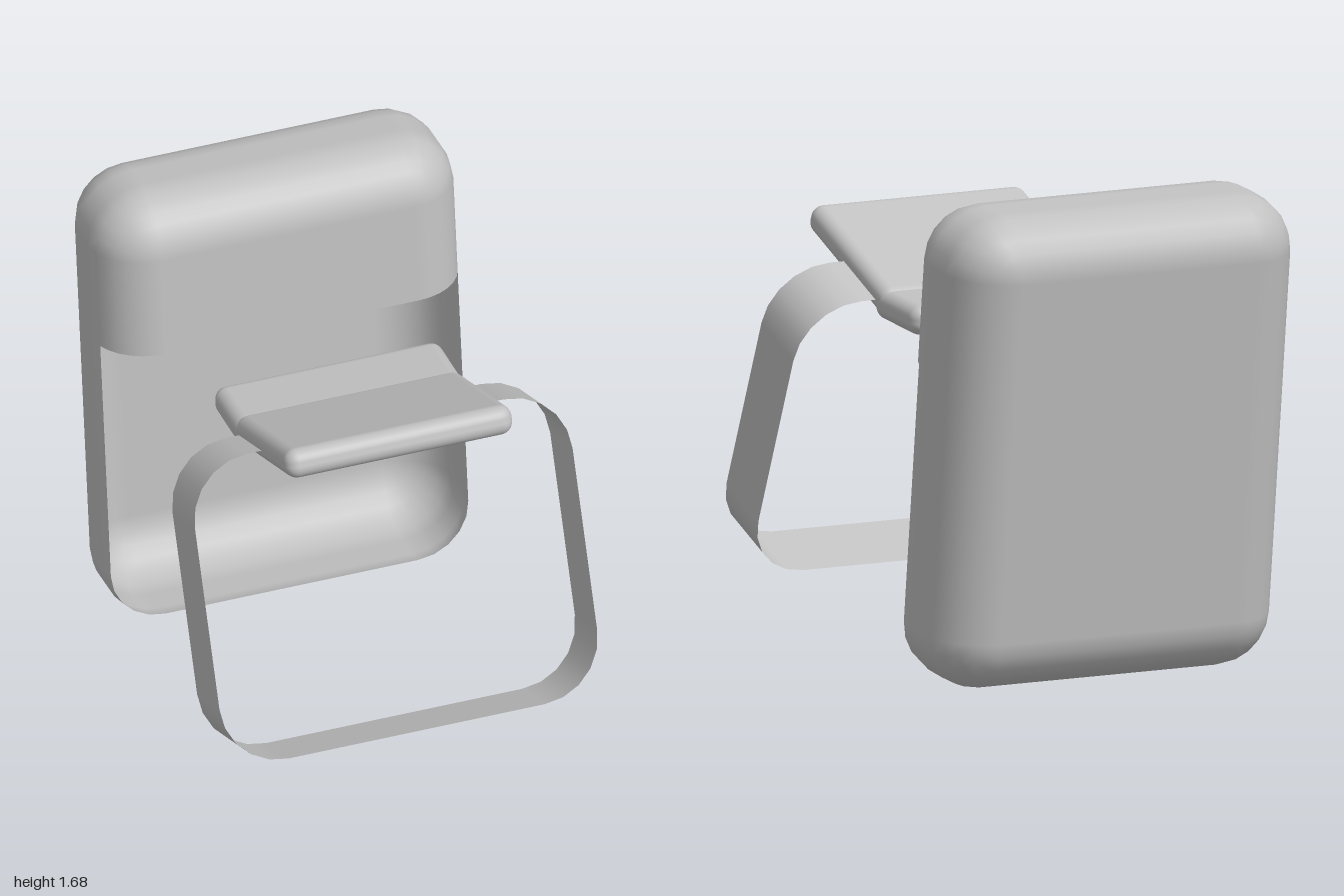
import * as THREE from 'three';
import { RoundedBoxGeometry } from 'three/addons/geometries/RoundedBoxGeometry.js';

const CORNER_STEPS = 5;

// Rounded rectangle, counter-clockwise; with yMin it is an arch cut off level at yMin.
function outline(w, h, r, yMin) {
  const pts = [];
  const corner = (sx, sy, start) => {
    for (let i = 0; i <= CORNER_STEPS; i++) {
      const t = start + (i / CORNER_STEPS) * Math.PI / 2;
      const nx = Math.cos(t), ny = Math.sin(t);
      pts.push([sx * (w / 2 - r) + r * nx, sy * (h / 2 - r) + r * ny, nx, ny]);
    }
  };
  if (yMin !== undefined) pts.push([w / 2, yMin, 1, 0]);
  corner(1, 1, 0);
  corner(-1, 1, Math.PI / 2);
  if (yMin !== undefined) {
    pts.push([-w / 2, yMin, -1, 0]);
  } else {
    corner(-1, -1, Math.PI);
    corner(1, -1, Math.PI * 1.5);
    pts.push(pts[0]);
  }
  return pts;
}

// Skin over rings {pts, z, tilt}; tilt is the angle of the normal out of the ring's plane.
function loft(rings, capBack, capFront) {
  const pos = [], nor = [], idx = [];
  const n = rings[0].pts.length, last = (rings.length - 1) * n;
  for (const { pts, z, tilt } of rings) {
    for (const [x, y, nx, ny] of pts) {
      pos.push(x, y, z);
      nor.push(nx * Math.cos(tilt), ny * Math.cos(tilt), Math.sin(tilt));
    }
  }
  for (let k = 0; k < last; k += n) {
    for (let i = 0; i < n - 1; i++) {
      const a = k + i, b = a + 1, c = b + n, d = a + n;
      idx.push(a, b, d, b, c, d);
    }
  }
  for (let i = 1; i < n - 1; i++) {
    if (capBack) idx.push(0, i + 1, i);
    if (capFront) idx.push(last, last + i, last + i + 1);
  }
  const g = new THREE.BufferGeometry();
  g.setAttribute('position', new THREE.Float32BufferAttribute(pos, 3));
  g.setAttribute('normal', new THREE.Float32BufferAttribute(nor, 3));
  g.setIndex(idx);
  return g;
}

export function createModel() {
  const grey = new THREE.MeshStandardMaterial({ color: 0xc0c0c0, side: THREE.DoubleSide });
  grey.name = 'light grey';

  const model = new THREE.Group();
  model.name = 'model';
  const add = (parent, geometry, name) => {
    const m = new THREE.Mesh(geometry, grey);
    m.name = name;
    parent.add(m);
    return m;
  };

  // Everything is turned a little about the vertical
  const turned = new THREE.Group();
  turned.name = 'turnedAssembly';
  turned.rotation.y = -0.21;
  model.add(turned);

  // Hollow rounded case, leaning back
  const W = 1.315, H = 1.685, D = 0.5, R = 0.2, STEP_Y = 0.274;
  const caseGroup = new THREE.Group();
  caseGroup.name = 'case';
  caseGroup.position.set(0.018, 0.843, -0.587);
  caseGroup.rotation.x = -0.12;
  turned.add(caseGroup);

  const ring = (tilt, yMin) => {
    const inset = R * (1 - Math.cos(tilt));
    return {
      pts: outline(W - 2 * inset, H - 2 * inset, R - inset, yMin),
      z: Math.sign(tilt) * (D / 2 - R) + R * Math.sin(tilt),
      tilt,
    };
  };
  const cut = 0.305, steps = 6;

  // Back shell, open to the front
  const shell = [];
  for (let i = 0; i < steps; i++) shell.push(ring(-Math.PI / 2 * (1 - i / steps)));
  shell.push({ ...ring(0), z: -(D / 2 - R) }, { ...ring(0), z: D / 2 - R }, ring(cut));
  add(caseGroup, loft(shell, true, false), 'backShell');

  // Front cover over the upper part only
  const cover = [];
  for (let i = 0; i <= steps; i++) {
    cover.push(ring(cut + (Math.PI / 2 - cut) * i / steps, STEP_Y));
  }
  add(caseGroup, loft(cover, false, true), 'upperFrontCover');

  // Thin band forming a rounded loop
  const loop = outline(1.37, 1.09, 0.22);
  const strap = add(turned, loft([-0.125, 0.125].map(z => ({ pts: loop, z, tilt: 0 })), false, false), 'strapLoop');
  strap.position.set(0.025, 0.76, 0.56);
  strap.rotation.x = -0.4;

  // Folded plate: raised front leaf and flatter rear leaf
  const leaf = (length, y, z, tilt, name) => {
    const m = add(turned, new RoundedBoxGeometry(0.825, 0.105, length, 4, 0.045), name);
    m.position.set(0.024, y, z);
    m.rotation.x = tilt;
  };
  leaf(0.6, 1.313, 0.457, -0.4, 'frontLeaf');
  leaf(0.31, 1.188, 0.105, -0.08, 'rearLeaf');

  return model;
}
